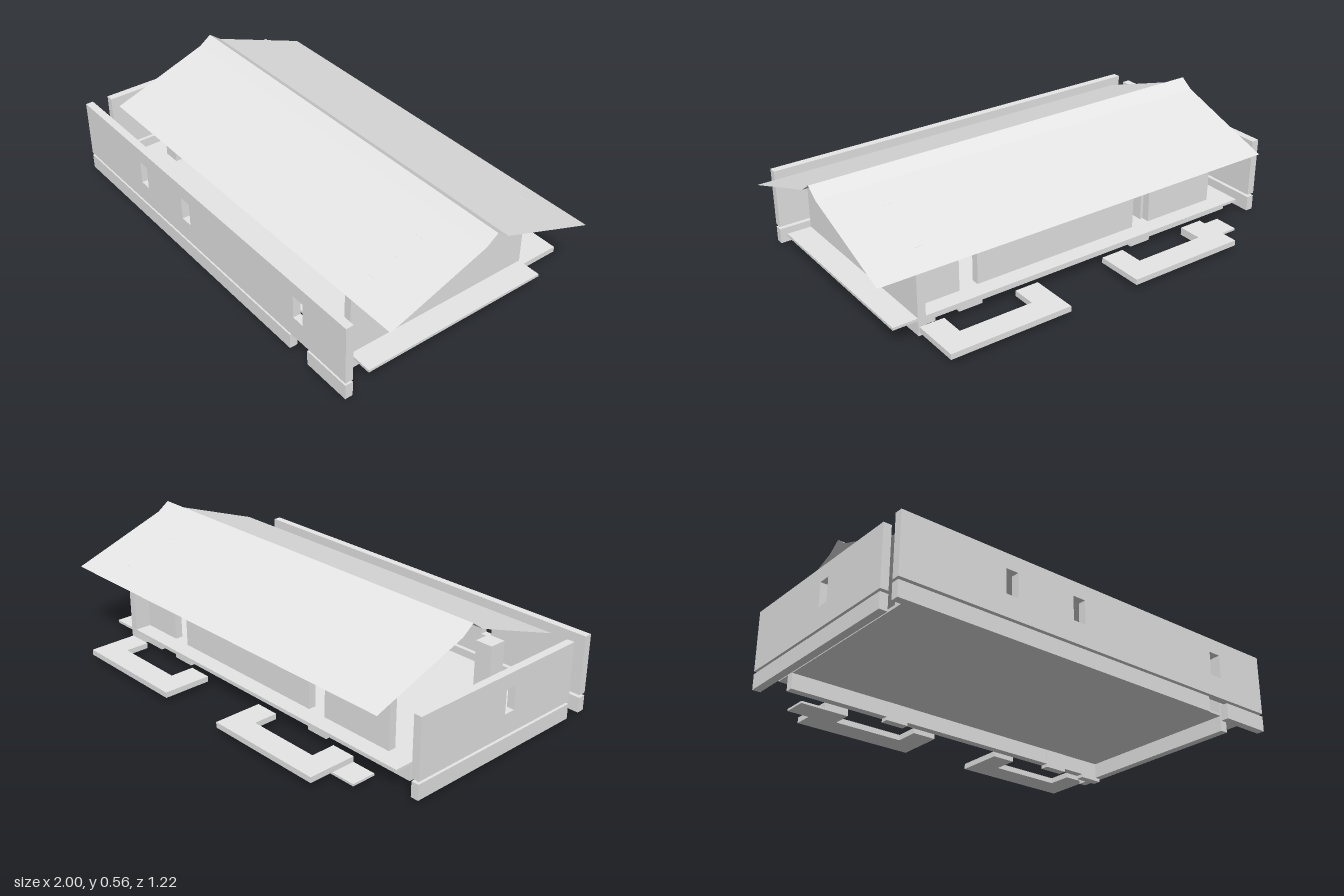
import * as THREE from 'three';

const grey = new THREE.MeshStandardMaterial({ color: 0xe6e6e6 });
grey.name = 'plain grey';
grey.side = THREE.DoubleSide;

// Box given by its two extreme corners
function block(group, name, x0, x1, y0, y1, z0, z1) {
  const mesh = new THREE.Mesh(new THREE.BoxGeometry(x1 - x0, y1 - y0, z1 - z0), grey);
  mesh.position.set((x0 + x1) / 2, (y0 + y1) / 2, (z0 + z1) / 2);
  mesh.name = name;
  group.add(mesh);
}

// Upright plate from an outline with rectangular holes [u0, u1, v0, v1]
function plate(group, name, points, holes, depth) {
  const shape = new THREE.Shape(points.map(([u, v]) => new THREE.Vector2(u, v)));
  for (const [u0, u1, v0, v1] of holes) {
    shape.holes.push(new THREE.Path([[u0, v0], [u0, v1], [u1, v1], [u1, v0]]
      .map(([u, v]) => new THREE.Vector2(u, v))));
  }
  const mesh = new THREE.Mesh(
    new THREE.ExtrudeGeometry(shape, { depth, bevelEnabled: false }), grey);
  mesh.name = name;
  group.add(mesh);
  return mesh;
}

const rect = (u0, u1, v0, v1) => [[u0, v0], [u1, v0], [u1, v1], [u0, v1]];

export function createModel() {
  const model = new THREE.Group();
  model.name = 'house';
  const t = 0.035;            // wall thickness
  const floorY = 0.095, wallTop = 0.36;

  // Floor slab on two plinth walls, open underneath
  block(model, 'floorSlab', -0.89, 0.89, 0.083, floorY, -0.39, 0.5);
  block(model, 'leftPlinth', 0.745, 0.78, 0.015, 0.083, -0.39, 0.5);
  block(model, 'backPlinth', -0.89, 0.745, 0.015, 0.083, -0.315, -0.28);

  // Door sills along the back plinth
  for (const [x0, x1] of [[-0.44, -0.335], [0.44, 0.55], [0.66, 0.77]]) {
    block(model, 'doorSill', x0, x1, 0, 0.09, -0.316, -0.279);
  }

  // Front wall with three windows, and its split plinth
  const frontWindows = [[-0.53, -0.475], [-0.2, -0.14], [0.575, 0.635]]
    .map(([a, b]) => [a, b, 0.19, 0.295]);
  plate(model, 'frontWall', rect(-1, 0.89, floorY, wallTop), frontWindows, t)
    .position.z = 0.575;
  block(model, 'frontPlinth', -1, 0.55, 0.015, 0.083, 0.575, 0.61);
  block(model, 'frontPlinth', 0.66, 0.89, 0.015, 0.083, 0.575, 0.61);

  // Low side wall at the model's right, drawn in (-z, y) and turned
  const sideWindow = [[-0.14, -0.085, 0.19, 0.295]];
  const side = plate(model, 'rightWall', rect(-0.5, 0.39, floorY, wallTop), sideWindow, t);
  side.rotation.y = Math.PI / 2;
  side.position.x = -1;
  block(model, 'rightPlinth', -1, -0.965, 0.015, 0.083, -0.39, 0.5);

  // Stepped gable wall at the model's left
  const outline = [[-0.5, floorY], [0.39, floorY], [0.39, 0.4]];
  [0.278, 0.167, 0.055].forEach((u, i) => {
    outline.push([u, 0.4 + i * 0.04], [u, 0.44 + i * 0.04]);
  });
  [0.055, 0.167, 0.278, 0.39].forEach((u, i) => {
    outline.push([-u, 0.52 - i * 0.04], [-u, 0.48 - i * 0.04]);
  });
  outline.push([-0.5, wallTop]);
  const gable = plate(model, 'gableWall', outline, sideWindow, t);
  gable.rotation.y = Math.PI / 2;
  gable.position.x = 0.745;

  // Back wall panels between the doorways
  for (const [x0, x1] of [[-0.78, -0.43], [-0.34, 0.46], [0.545, 0.745]]) {
    block(model, 'backWall', x0, x1, floorY, wallTop, -0.315, -0.28);
  }

  // Inner cross walls and a short corner pier
  for (const x of [-0.45, 0.2]) {
    block(model, 'partition', x, x + t, floorY, wallTop, -0.28, 0.15);
  }
  block(model, 'cornerPier', -0.78, -0.7, floorY, 0.34, 0.26, 0.34);

  // Porch slabs, notched on the house side
  for (const [x0, x1] of [[-0.67, -0.115], [0.22, 0.775]]) {
    const porch = plate(model, 'porchSlab', [[x0, 0.39], [x0 + 0.11, 0.39],
      [x0 + 0.11, 0.5], [x1 - 0.11, 0.5], [x1 - 0.11, 0.39], [x1, 0.39],
      [x1, 0.61], [x0, 0.61]], [], 0.025);
    porch.rotation.x = -Math.PI / 2;
    porch.position.y = 0.03;
  }
  block(model, 'stepPlate', -0.78, -0.56, 0.02, 0.03, -0.5, -0.39);

  // Thin folded roof, steeper beside the ridge
  const profile = [[0.5, 0.36], [0.055, 0.52], [0, 0.56], [-0.055, 0.52], [-0.5, 0.36]];
  const pos = [];
  for (let i = 0; i < profile.length - 1; i++) {
    const [za, ya] = profile[i], [zb, yb] = profile[i + 1];
    pos.push(-0.89, ya, za, 1, ya, za, 1, yb, zb, -0.89, ya, za, 1, yb, zb, -0.89, yb, zb);
  }
  const roofGeo = new THREE.BufferGeometry();
  roofGeo.setAttribute('position', new THREE.Float32BufferAttribute(pos, 3));
  roofGeo.computeVertexNormals();
  const roof = new THREE.Mesh(roofGeo, grey);
  roof.name = 'roof';
  model.add(roof);

  return model;
}
